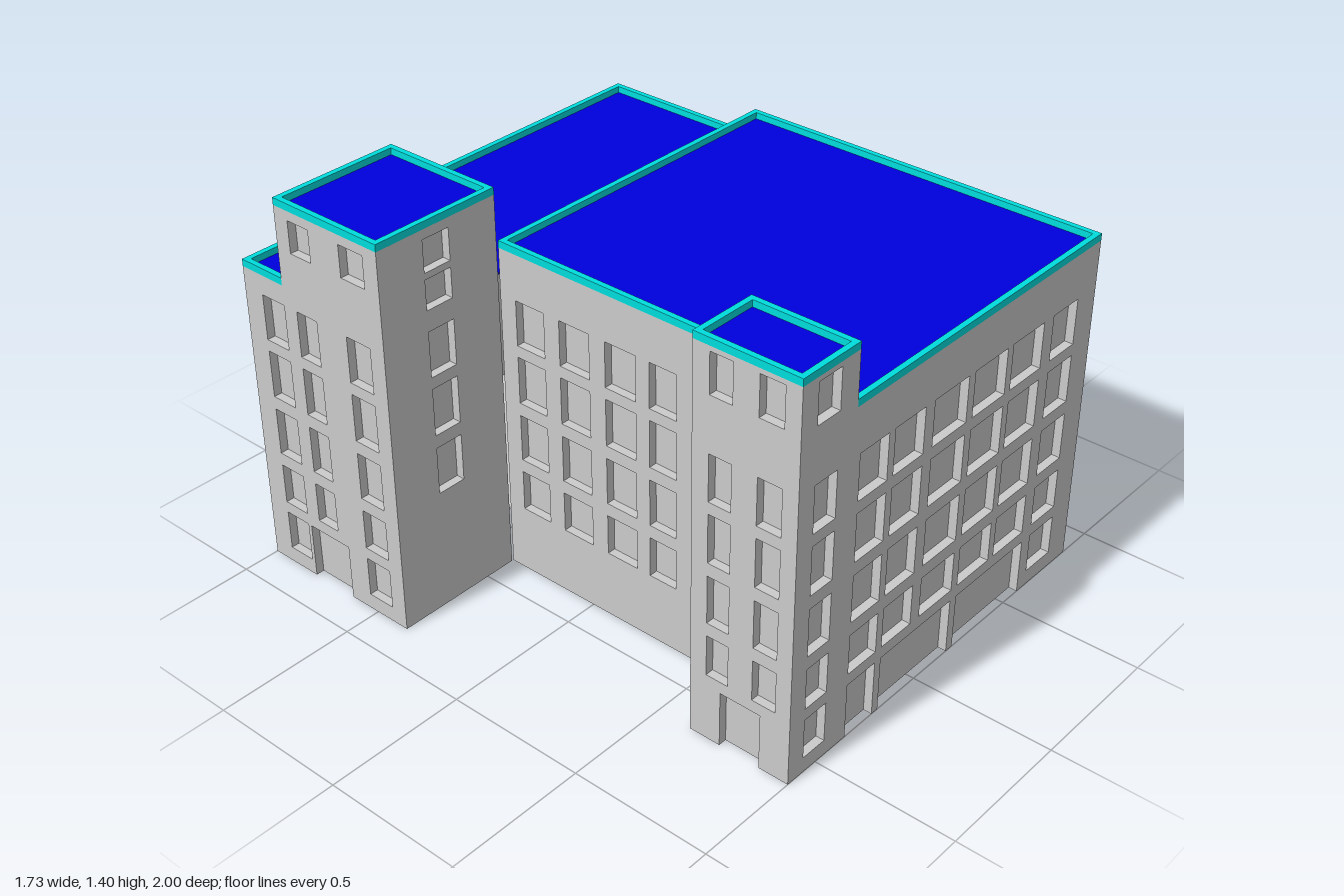
import * as THREE from 'three';

const GREY = new THREE.MeshStandardMaterial({ color: 0xcccccc, side: THREE.DoubleSide });
const BLUE = new THREE.MeshStandardMaterial({ color: 0x0000dd, side: THREE.DoubleSide });
const TEAL = new THREE.MeshStandardMaterial({ color: 0x00dddd });

const DEPTH = 0.03; // window recess
const RIM = 0.025;  // parapet height
const RIM_W = 0.02; // parapet width

// Plan lines
const R = 0.865, MAIN_L = -0.38, TOWER_L = -0.63, MAIN_B = -0.365;
const MAIN_H = 1.214, BACK_H = 1.122, TOWER_H = 1.398;

// Window rows (bottom, top)
const ROWS = [[0.056, 0.2], [0.242, 0.388], [0.435, 0.605], [0.652, 0.822], [0.864, 1.026]];
const UPPER = ROWS.slice(1);
const TOP_ROW = [1.228, 1.34];
const FRONT_TOP = [1.218, 1.356];

// Window columns
const FRONT_COLS = [[-0.356, -0.22], [-0.19, -0.044], [0.002, 0.174], [0.207, 0.377], [0.407, 0.574], [0.628, 0.763]];
const BACK_COLS = [[0.623, 0.756], [0.43, 0.581], [0.247, 0.389], [0.055, 0.197], [-0.137, 0.005], [-0.33, -0.188], [-0.522, -0.38]];
const TOWER_SIDE = [[0.858, 0.944], [0.686, 0.767]];
const MIDDLE = [[0.477, 0.579], [0.247, 0.354], [0.07, 0.193], [-0.118, 0.005], [-0.3, -0.182]];
const REAR_TOWER_SIDE = [[-0.531, -0.427], [-0.756, -0.665]];
const REAR_SIDE = [...REAR_TOWER_SIDE, [-0.917, -0.815]];
const TOWER_FRONT = [[-0.56, -0.46]];
const REAR_TOWER_FRONT = [[-0.685, -0.58]];

const grid = (cols, rows) => cols.flatMap(c => rows.map(r => [...c, ...r]));

// Facing direction: rotation and sign of the world axis along the wall
const SIDES = {
  front: { rot: 0, sign: 1, axis: 'z', out: 1 },
  back: { rot: Math.PI, sign: -1, axis: 'z', out: -1 },
  right: { rot: Math.PI / 2, sign: -1, axis: 'x', out: 1 },
  left: { rot: -Math.PI / 2, sign: 1, axis: 'x', out: -1 },
};

export function createModel() {
  const model = new THREE.Group();
  const add = (name, geometry, material) => {
    const mesh = new THREE.Mesh(geometry, material);
    mesh.name = name;
    model.add(mesh);
    return mesh;
  };

  // Wall with recessed openings [a, b, bottom, top]; openings at ground level notch the outline
  function wall(name, side, plane, from, to, y0, y1, openings = []) {
    const { rot, sign, axis, out } = SIDES[side];
    const span = (a, b) => [a * sign, b * sign].sort((p, q) => p - q);
    const [u0, u1] = span(from, to);
    const local = openings.map(([a, b, lo, hi]) => [...span(a, b), lo, hi]);
    const shape = new THREE.Shape();
    shape.moveTo(u0, y0);
    local.filter(o => o[2] === 0).sort((p, q) => p[0] - q[0]).forEach(([a, b, , hi]) => {
      shape.lineTo(a, 0);
      shape.lineTo(a, hi);
      shape.lineTo(b, hi);
      shape.lineTo(b, 0);
    });
    shape.lineTo(u1, y0);
    shape.lineTo(u1, y1);
    shape.lineTo(u0, y1);
    shape.closePath();
    for (const [a, b, lo, hi] of local) {
      if (lo === 0) continue;
      const hole = new THREE.Path();
      hole.moveTo(a, lo).lineTo(a, hi).lineTo(b, hi).lineTo(b, lo).closePath();
      shape.holes.push(hole);
    }
    const skin = new THREE.ExtrudeGeometry(shape, { depth: DEPTH, bevelEnabled: false });
    skin.translate(0, 0, -DEPTH);
    const panes = new THREE.PlaneGeometry(u1 - u0, y1 - y0);
    panes.translate((u0 + u1) / 2, (y0 + y1) / 2, -DEPTH);
    for (const [part, geometry] of [['Wall', skin], ['Panes', panes]]) {
      const mesh = add(name + part, geometry, GREY);
      mesh.rotation.y = rot;
      mesh.position[axis] = plane;
    }
  }

  const box = (name, x0, x1, y0, y1, z0, z1, material) =>
    add(name, new THREE.BoxGeometry(x1 - x0, y1 - y0, z1 - z0)
      .translate((x0 + x1) / 2, (y0 + y1) / 2, (z0 + z1) / 2), material);

  // Flat roof with parapet strips given as [x0, x1, z0, z1]
  function roof(name, x0, x1, z0, z1, top, strips) {
    box(name + 'Roof', x0 + 0.005, x1 - 0.005, top - RIM - 0.004, top - RIM + 0.002, z0 + 0.005, z1 - 0.005, BLUE);
    for (const [a, b, c, d] of strips) box(name + 'Parapet', a, b, top - RIM, top, c, d, TEAL);
  }
  const ring = (x0, x1, z0, z1) => [
    [x0, x1, z0, z0 + RIM_W], [x0, x1, z1 - RIM_W, z1],
    [x0, x0 + RIM_W, z0 + RIM_W, z1 - RIM_W], [x1 - RIM_W, x1, z0 + RIM_W, z1 - RIM_W],
  ];

  const mainTop = MAIN_H - RIM, backTop = BACK_H - RIM, towerTop = TOWER_H - RIM;

  // Main block, with shop fronts at street level
  wall('mainFront', 'front', 1, MAIN_L, R, 0, mainTop, [
    ...grid(FRONT_COLS, UPPER), ...grid(FRONT_COLS.slice(-1), ROWS.slice(0, 1)),
    [-0.356, -0.22, 0, 0.2], [-0.19, 0.174, 0, 0.2], [0.207, 0.58, 0, 0.2],
  ]);
  wall('mainRight', 'right', R, MAIN_B, 1, 0, mainTop, grid([...TOWER_SIDE, ...MIDDLE], ROWS));
  wall('mainLeft', 'left', MAIN_L, MAIN_B, 0.625, 0, mainTop, grid(MIDDLE, UPPER));
  wall('mainBack', 'back', MAIN_B, MAIN_L, R, backTop - 0.02, mainTop);
  roof('main', MAIN_L, R, MAIN_B, 1, MAIN_H, [
    [MAIN_L, R, MAIN_B, MAIN_B + RIM_W], [MAIN_L, R, 1 - RIM_W, 1],
    [R - RIM_W, R, MAIN_B + RIM_W, 1 - RIM_W], [MAIN_L, MAIN_L + RIM_W, MAIN_B + RIM_W, 0.625],
  ]);

  // Rear wing
  wall('rearBack', 'back', -1, -R, R, 0, backTop, grid(BACK_COLS, ROWS));
  wall('rearRight', 'right', R, -1, MAIN_B, 0, backTop, grid(REAR_SIDE, ROWS));
  wall('rearLeft', 'left', -R, -1, MAIN_B, 0, backTop, [
    ...grid(REAR_SIDE, UPPER), ...grid([REAR_SIDE[0], REAR_SIDE[2]], ROWS.slice(0, 1)), [-0.8, -0.62, 0, 0.2],
  ]);
  roof('rear', -R, R, -1, MAIN_B, BACK_H, [
    [-R, R, -1, -1 + RIM_W], [R - RIM_W, R, -1 + RIM_W, MAIN_B], [-R, -R + RIM_W, -1 + RIM_W, -0.815],
  ]);

  // Rear stair tower
  const rearX = -0.387, rearZ = -0.815;
  wall('rearTowerFront', 'front', MAIN_B, -R, rearX, 0, towerTop,
    grid(REAR_TOWER_FRONT, [...ROWS.slice(2), [1.1, 1.205], TOP_ROW]));
  wall('rearTowerBack', 'back', rearZ, -R, rearX, backTop, towerTop,
    grid(REAR_TOWER_FRONT, [[1.125, 1.205], TOP_ROW]));
  wall('rearTowerRight', 'right', rearX, rearZ, MAIN_B, backTop, towerTop, grid(REAR_TOWER_SIDE, [TOP_ROW]));
  wall('rearTowerLeft', 'left', -R, rearZ, MAIN_B, backTop, towerTop, grid(REAR_TOWER_SIDE, [TOP_ROW]));
  roof('rearTower', -R, rearX, rearZ, MAIN_B, TOWER_H, ring(-R, rearX, rearZ, MAIN_B));

  // Front stair tower
  wall('frontTowerFront', 'front', 1, TOWER_L, MAIN_L, 0, towerTop, grid(TOWER_FRONT, [...ROWS, FRONT_TOP]));
  wall('frontTowerBack', 'back', 0.625, TOWER_L, MAIN_L, 0, towerTop, grid(TOWER_FRONT, [...ROWS, FRONT_TOP]));
  wall('frontTowerLeft', 'left', TOWER_L, 0.625, 1, 0, towerTop,
    [...grid(TOWER_SIDE, [...UPPER, FRONT_TOP]), [0.74, 0.89, 0, 0.2]]);
  wall('frontTowerRight', 'right', MAIN_L, 0.625, 1, mainTop, towerTop, grid(TOWER_SIDE, [FRONT_TOP]));
  roof('frontTower', TOWER_L, MAIN_L, 0.625, 1, TOWER_H, ring(TOWER_L, MAIN_L, 0.625, 1));

  // Ceiling over the hollow ground floor
  const plan = new THREE.Shape([
    [-R, -1], [R, -1], [R, 1], [TOWER_L, 1], [TOWER_L, 0.625], [MAIN_L, 0.625], [MAIN_L, MAIN_B], [-R, MAIN_B],
  ].map(([x, z]) => new THREE.Vector2(x, z)));
  add('groundFloorCeiling', new THREE.ShapeGeometry(plan).rotateX(Math.PI / 2).translate(0, 0.21, 0), GREY);

  return model;
}
